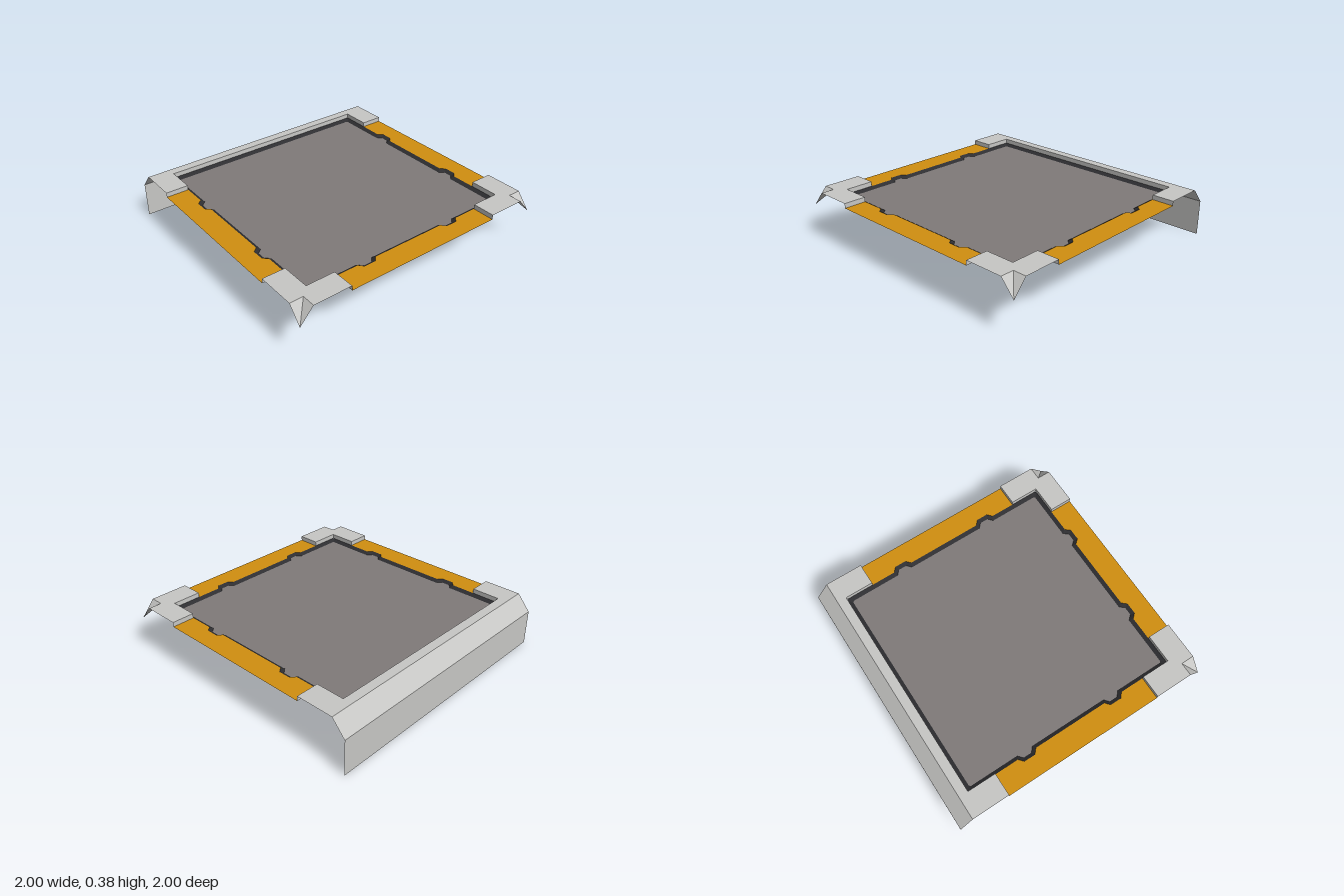
import * as THREE from 'three';

const TOP = 0.38, DECK = 0.345, FLOOR = 0.327, TIP = 0.265;
const EDGE = 0.83, STEP = 0.615, CUT = 0.9;

const mat = (name, color) => {
  const m = new THREE.MeshStandardMaterial({ color, side: THREE.DoubleSide });
  m.name = name;
  return m;
};

// flat horizontal sheet from [x, z] corners
function sheet(points, y) {
  const shape = new THREE.Shape(points.map(([x, z]) => new THREE.Vector2(x, -z)));
  return new THREE.ShapeGeometry(shape).rotateX(-Math.PI / 2).translate(0, y, 0);
}

// flat-shaded band between two equally long rows of [x, y, z] points
function band(a, b) {
  const pos = [];
  for (let i = 0; i + 1 < a.length; i++) {
    pos.push(...a[i], ...a[i + 1], ...b[i + 1], ...a[i], ...b[i + 1], ...b[i]);
  }
  return soup(pos);
}

function soup(pos) {
  const g = new THREE.BufferGeometry();
  g.setAttribute('position', new THREE.Float32BufferAttribute(pos, 3));
  g.computeVertexNormals();
  return g;
}

const atHeight = (path, y) => path.map(([x, z]) => [x, y, z]);

// one side of the tray outline, u along the side and v outwards, with two tabs
function sideProfile(v, tabs, out, base, tip, end) {
  const pts = [[-end, v]];
  if (tabs) {
    for (const c of [-0.36, 0.36]) {
      pts.push([c - base, v], [c - tip, v + out], [c + tip, v + out], [c + base, v]);
    }
  }
  pts.push([end, v]);
  return pts;
}

// closed tray outline: front, left, back (plain), right
function outline(v, out, base, tip) {
  const loop = [];
  for (let k = 0; k < 4; k++) {
    const c = Math.round(Math.cos(k * Math.PI / 2)), s = Math.round(Math.sin(k * Math.PI / 2));
    for (const [u, w] of sideProfile(v, k !== 2, out, base, tip, v - 0.01)) {
      loop.push([u * c + w * s, -u * s + w * c]);
    }
  }
  return loop;
}

export function createModel() {
  const group = new THREE.Group();
  const grey = mat('light grey', 0xc6c6c4);
  const orange = mat('orange', 0xd08e10);
  const floorGrey = mat('floor grey', 0x7f7a79);
  const dark = mat('charcoal', 0x2e2e31);
  const add = (name, geometry, material) => {
    const mesh = new THREE.Mesh(geometry, material);
    mesh.name = name;
    group.add(mesh);
    return mesh;
  };

  // sunken tray: floor and sloping rim
  const outer = outline(EDGE, 0.035, 0.073, 0.042);
  const inner = outline(EDGE - 0.027, 0.035, 0.063, 0.032);
  add('trayFloor', sheet(inner, FLOOR), floorGrey);
  add('trayRim', band(
    atHeight([...outer, outer[0]], DECK),
    atHeight([...inner, inner[0]], FLOOR)), dark);

  // orange strips, notched around the tabs
  const strip = [...sideProfile(EDGE, true, 0.035, 0.073, 0.042, STEP), [STEP, 1], [-STEP, 1]]
    .map(([u, v]) => [u, -v]);
  ['frontStrip', 'leftStrip', 'rightStrip'].forEach((name, i) => {
    const g = sheet(strip.map(([u, v]) => [u, -v]), DECK);
    add(name, g.rotateY([0, 1, -1][i] * Math.PI / 2), orange);
  });

  // back border: raised plate, step walls, slope and hanging wall
  const backStep = [[1, -STEP], [EDGE, -STEP], [EDGE, -EDGE],
    [-EDGE, -EDGE], [-EDGE, -STEP], [-1, -STEP]];
  add('backPlate', sheet([...backStep, [-1, -CUT], [1, -CUT]], TOP), grey);
  add('backStep', band(atHeight(backStep, TOP), atHeight(backStep, DECK)), grey);
  const row = (y, z) => [[-1, y, z], [1, y, z]];
  add('backSlope', band(row(TOP, -CUT), row(TIP, -1)), grey);
  add('backWall', band(row(TIP, -1), row(0, -1)), grey);

  // front corners: raised plate, step walls and down-turned point
  for (const s of [1, -1]) {
    const side = s > 0 ? 'Left' : 'Right';
    const step = [[STEP, 1], [STEP, EDGE], [EDGE, EDGE], [EDGE, STEP], [1, STEP]]
      .map(([x, z]) => [s * x, z]);
    add('cornerPlate' + side,
      sheet([...step, [s, CUT], [s * CUT, CUT], [s * CUT, 1]], TOP), grey);
    const path = s > 0 ? step : [...step].reverse();
    add('cornerStep' + side, band(atHeight(path, TOP), atHeight(path, DECK)), grey);

    const p = [s * CUT, TOP, CUT], tip = [s, TIP, 1];
    const a = [s, TOP, CUT], b = [s * CUT, TOP, 1];
    const faces = s > 0 ? [p, tip, a, p, b, tip] : [p, a, tip, p, tip, b];
    add('cornerPoint' + side, soup(faces.flat()), grey);
  }
  return group;
}
